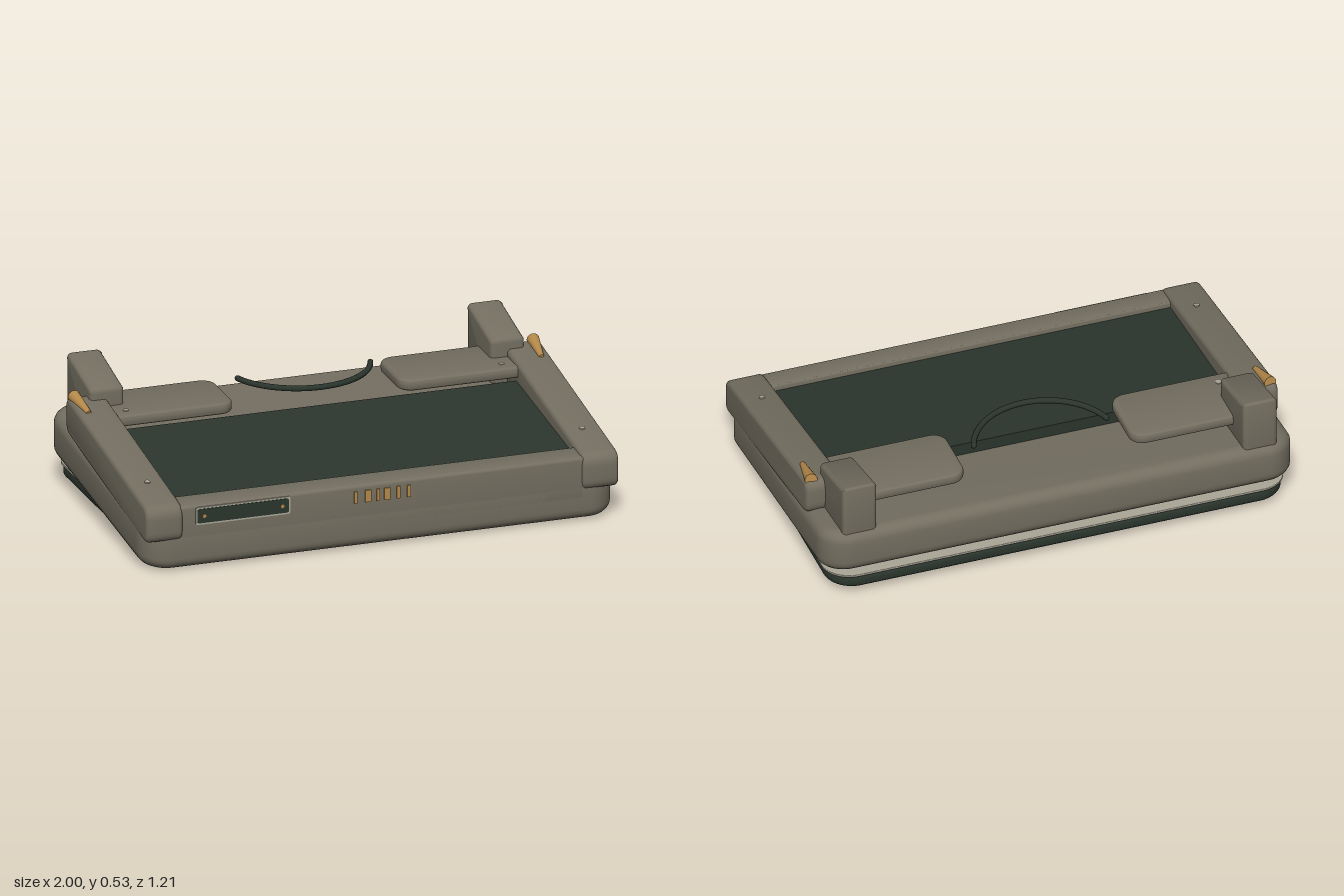
import * as THREE from 'three';
import { toCreasedNormals } from 'three/addons/utils/BufferGeometryUtils.js';
import { RoundedBoxGeometry } from 'three/addons/geometries/RoundedBoxGeometry.js';

const material = (name, color) => {
  const m = new THREE.MeshStandardMaterial({ color });
  m.name = name;
  return m;
};

// Rounded rectangle outline centred on the origin
function roundedRect(w, h, r) {
  const s = new THREE.Shape(), x = w / 2, y = h / 2;
  s.moveTo(-x + r, -y);
  s.lineTo(x - r, -y);
  s.absarc(x - r, -y + r, r, -Math.PI / 2, 0);
  s.lineTo(x, y - r);
  s.absarc(x - r, y - r, r, 0, Math.PI / 2);
  s.lineTo(-x + r, y);
  s.absarc(-x + r, y - r, r, Math.PI / 2, Math.PI);
  s.lineTo(-x, -y + r);
  s.absarc(-x + r, -y + r, r, Math.PI, Math.PI * 1.5);
  return s;
}

// Horizontal slab with rounded plan corners and rounded rims, from y0 to y1
function slab(w, d, r, y0, y1, z, bevel) {
  const g = new THREE.ExtrudeGeometry(roundedRect(w - 2 * bevel, d - 2 * bevel, r - bevel), {
    depth: y1 - y0 - 2 * bevel, bevelEnabled: true, bevelThickness: bevel,
    bevelSize: bevel, bevelSegments: 5, curveSegments: 8,
  });
  g.rotateX(-Math.PI / 2);
  g.translate(0, y0 + bevel, z);
  return g;
}

// Raise the back of a geometry: y falls towards the front by the slope
function shear(g, slope) {
  const p = g.attributes.position;
  for (let i = 0; i < p.count; i++) p.setY(i, p.getY(i) - slope * p.getZ(i));
  return g;
}

const crease = (g) => toCreasedNormals(g, 0.6);

// Side profile given as [z, y] corners, rounded, extruded to a width along x
function profile(points, width, r, bevel) {
  const v = points.map(([z, y]) => new THREE.Vector2(-z, y));
  const s = new THREE.Shape();
  v.forEach((c, i) => {
    const prev = v[(i + v.length - 1) % v.length], next = v[(i + 1) % v.length];
    const a = c.clone().add(prev.clone().sub(c).setLength(r));
    const b = c.clone().add(next.clone().sub(c).setLength(r));
    if (i) s.lineTo(a.x, a.y); else s.moveTo(a.x, a.y);
    s.quadraticCurveTo(c.x, c.y, b.x, b.y);
  });
  s.closePath();
  const g = new THREE.ExtrudeGeometry(s, {
    depth: width - 2 * bevel, bevelEnabled: true, bevelThickness: bevel,
    bevelSize: bevel, bevelOffset: -bevel, bevelSegments: 4, curveSegments: 6,
  });
  g.translate(0, 0, -width / 2 + bevel);
  g.rotateY(Math.PI / 2);
  return crease(g);
}

export function createModel() {
  const root = new THREE.Group();
  root.name = 'tiltedConsole';
  const shell = material('warm grey shell', 0x736e60);
  const dark = material('dark green', 0x2b352d);
  const rubber = material('foot rubber', 0x222a25);
  const trim = material('pale trim', 0xa9a596);
  const brass = material('brass', 0xb4894a);

  const add = (name, geometry, mat, x = 0, y = 0, z = 0) => {
    const m = new THREE.Mesh(geometry, mat);
    m.name = name;
    m.position.set(x, y, z);
    root.add(m);
    return m;
  };

  const slope = 0.105;

  // Wedge-tilted main body, inset panel and front lip
  add('body', crease(shear(slab(2, 1.198, 0.12, 0.062, 0.252, -0.006, 0.05), slope)), shell);
  const panel = new THREE.BoxGeometry(1.7, 0.08, 0.68);
  panel.translate(0, 0.264, 0.15);
  add('panel', crease(shear(panel, slope)), dark);
  const lip = new RoundedBoxGeometry(1.72, 0.18, 0.107, 3, 0.012);
  lip.translate(0, 0.242, 0.5395);
  add('frontLip', crease(shear(lip, slope)), shell);

  // Level base under the body, with a pale seam plate
  add('base', crease(slab(1.93, 1.08, 0.12, 0.035, 0.092, -0.05, 0.02)), dark);
  add('seamPlate', crease(slab(1.95, 0.9, 0.12, 0.09, 0.1, -0.142, 0.003)), trim);

  // Feet
  const footShape = [[0, 0], [0.058, 0], [0.068, 0.008], [0.068, 0.05], [0, 0.05]]
    .map(([x, y]) => new THREE.Vector2(x, y));
  const footGeo = crease(new THREE.LatheGeometry(footShape, 28));
  for (const x of [-0.8, 0.8])
    for (const z of [0.425, -0.44]) add('foot', footGeo, rubber, x, 0, z);

  // Parts mirrored on both sides
  const railGeo = profile([[0.605, 0.125], [0.605, 0.279], [-0.37, 0.432], [-0.37, 0.275]], 0.155, 0.05, 0.018);
  const postGeo = profile([[-0.295, 0.24], [-0.295, 0.464], [-0.583, 0.528], [-0.583, 0.26]], 0.145, 0.015, 0.02);
  const wingGeo = crease(slab(0.54, 0.295, 0.06, 0.342, 0.39, -0.3125, 0.015));
  const screwGeo = new THREE.CylinderGeometry(0.012, 0.012, 0.008, 14);
  const up = new THREE.Vector3(0, 1, 0);
  for (const side of [-1, 1]) {
    add('sideRail', railGeo, shell, side * 0.9225);
    add('rearPost', postGeo, shell, side * 0.8475);
    add('wingPlate', wingGeo, shell, side * 0.62);
    add('wingScrew', screwGeo, trim, side * 0.795, 0.389, -0.225);
    add('railScrew', screwGeo, trim, side * 0.92, 0.3145, 0.385).rotation.x = 0.156;

    // Tapered brass lever lying on the rail
    const tip = new THREE.Vector3(side * 0.958, 0.405, -0.205);
    const heel = new THREE.Vector3(side * 0.972, 0.43, -0.348);
    const dir = heel.clone().sub(tip);
    const lever = add('lever', new THREE.CylinderGeometry(0.026, 0.011, dir.length(), 18), brass);
    lever.position.copy(tip).add(heel).multiplyScalar(0.5);
    lever.quaternion.setFromUnitVectors(up, dir.normalize());
  }

  // Level curved handle, bowed to the front
  const arc = [];
  for (let i = 0; i <= 24; i++) {
    const a = (i / 24 * 2 - 1) * 1.26;
    arc.push(new THREE.Vector3(0.295 * Math.sin(a), 0.422, -0.43 + 0.295 * Math.cos(a)));
  }
  const path = new THREE.CatmullRomCurve3(arc);
  add('handle', new THREE.TubeGeometry(path, 48, 0.012, 10), dark);
  for (const end of [arc[0], arc[24]])
    add('handleEnd', new THREE.SphereGeometry(0.012, 10, 8), dark, end.x, end.y, end.z);

  // Framed plate with two pins on the front
  const plate = (w, h, d) => new THREE.ExtrudeGeometry(roundedRect(w, h, 0.008), { depth: d, bevelEnabled: false });
  add('plateFrame', plate(0.4, 0.074, 0.006), trim, -0.59, 0.225, 0.591);
  add('frontPlate', plate(0.386, 0.06, 0.008), dark, -0.59, 0.225, 0.591);
  const pinGeo = new THREE.CylinderGeometry(0.008, 0.008, 0.006, 12);
  for (const x of [-0.755, -0.425]) add('platePin', pinGeo, brass, x, 0.225, 0.599).rotation.x = Math.PI / 2;

  // Row of brass ribs
  const ribs = [[-0.113, 0.012], [-0.06, 0.024], [-0.018, 0.014], [0.02, 0.024], [0.068, 0.014], [0.112, 0.016]];
  for (const [x, w] of ribs) add('rib', new THREE.BoxGeometry(w, 0.05, 0.012), brass, x, 0.222, 0.593);

  return root;
}
